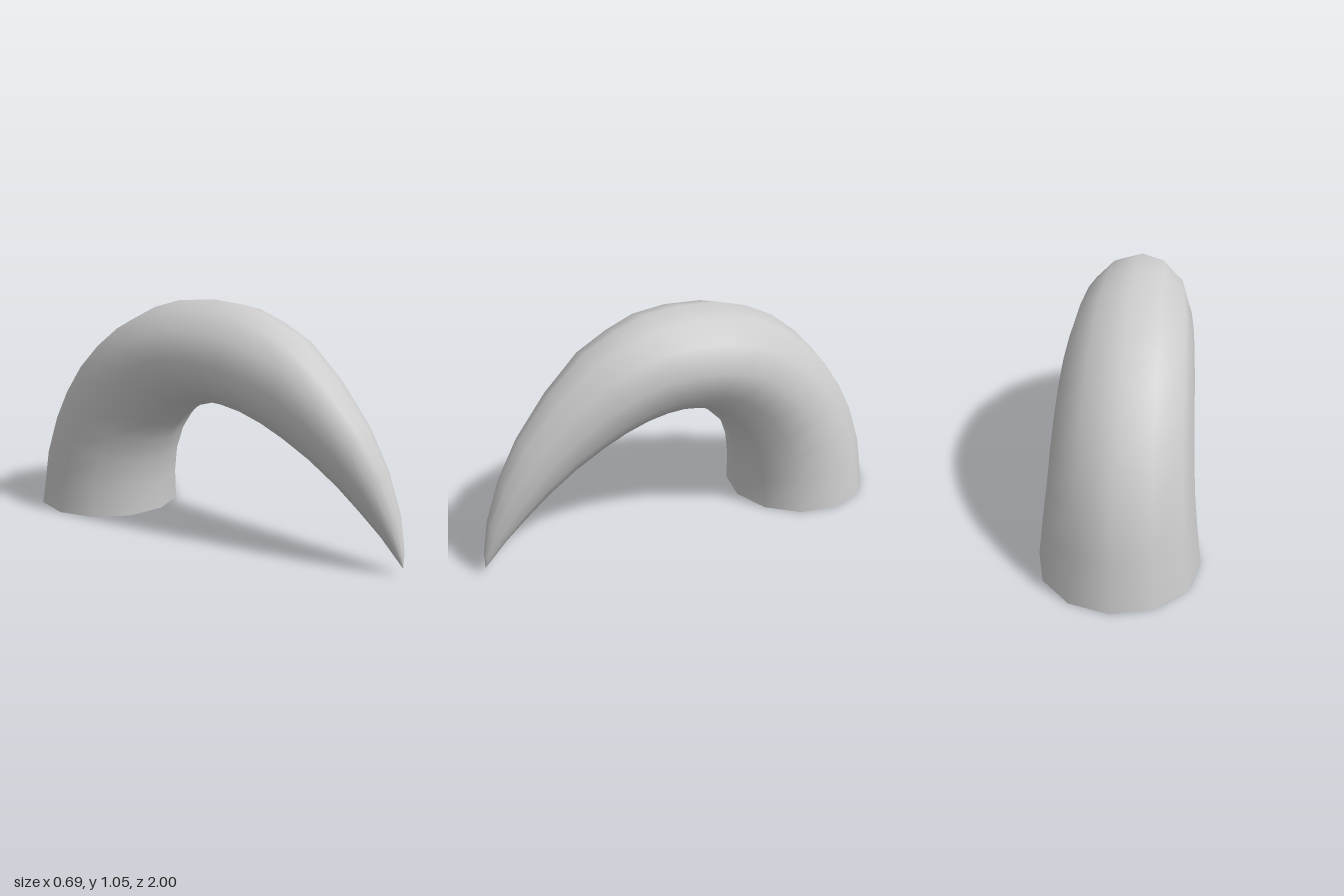
import * as THREE from 'three';

// Cross-sections from base to tip: outer z, outer y, inner z, inner y, half width
const SECTIONS = [
  [-1, 0, -0.31, 0, 0.345],
  [-0.965, 0.22, -0.308, 0.14, 0.325],
  [-0.9, 0.41, -0.29, 0.26, 0.308],
  [-0.82, 0.56, -0.25, 0.37, 0.3],
  [-0.72, 0.7, -0.195, 0.45, 0.293],
  [-0.6, 0.82, -0.13, 0.515, 0.287],
  [-0.47, 0.92, -0.06, 0.56, 0.28],
  [-0.33, 0.99, 0.02, 0.585, 0.272],
  [-0.18, 1.035, 0.09, 0.593, 0.262],
  [0.02, 1.055, 0.16, 0.587, 0.247],
  [0.19, 1.045, 0.25, 0.567, 0.228],
  [0.33, 1.0, 0.35, 0.53, 0.205],
  [0.48, 0.93, 0.45, 0.48, 0.18],
  [0.65, 0.78, 0.57, 0.41, 0.145],
  [0.8, 0.6, 0.7, 0.32, 0.115],
  [0.9, 0.43, 0.8, 0.235, 0.085],
  [0.97, 0.25, 0.9, 0.145, 0.053],
  [1, 0.1, 0.97, 0.065, 0.02],
  [1, 0.03, 1, 0.03, 0],
];
const SIDES = 12;

// Skin the closed rings into one smooth tube, open at the base
function hornGeometry() {
  const positions = [];
  const index = [];
  SECTIONS.forEach(([oz, oy, iz, iy, width], ring) => {
    for (let s = 0; s < SIDES; s++) {
      const a = (s / SIDES) * Math.PI * 2;
      const t = (1 + Math.cos(a)) / 2;
      positions.push(
        Math.sin(a) * width,
        THREE.MathUtils.lerp(iy, oy, t),
        THREE.MathUtils.lerp(iz, oz, t),
      );
      if (ring === 0) continue;
      const next = (s + 1) % SIDES;
      const low = (ring - 1) * SIDES;
      const high = ring * SIDES;
      index.push(low + s, high + s, low + next);
      // The last ring is a single point, so it needs only one triangle per side
      if (width > 0) index.push(low + next, high + s, high + next);
    }
  });
  const geometry = new THREE.BufferGeometry();
  geometry.setAttribute('position', new THREE.Float32BufferAttribute(positions, 3));
  geometry.setIndex(index);
  geometry.computeVertexNormals();
  return geometry;
}

export function createModel() {
  const group = new THREE.Group();
  group.name = 'curvedHorn';
  const material = new THREE.MeshStandardMaterial({ color: 0xcccccc, side: THREE.DoubleSide });
  const horn = new THREE.Mesh(hornGeometry(), material);
  horn.name = 'horn';
  group.add(horn);
  return group;
}
